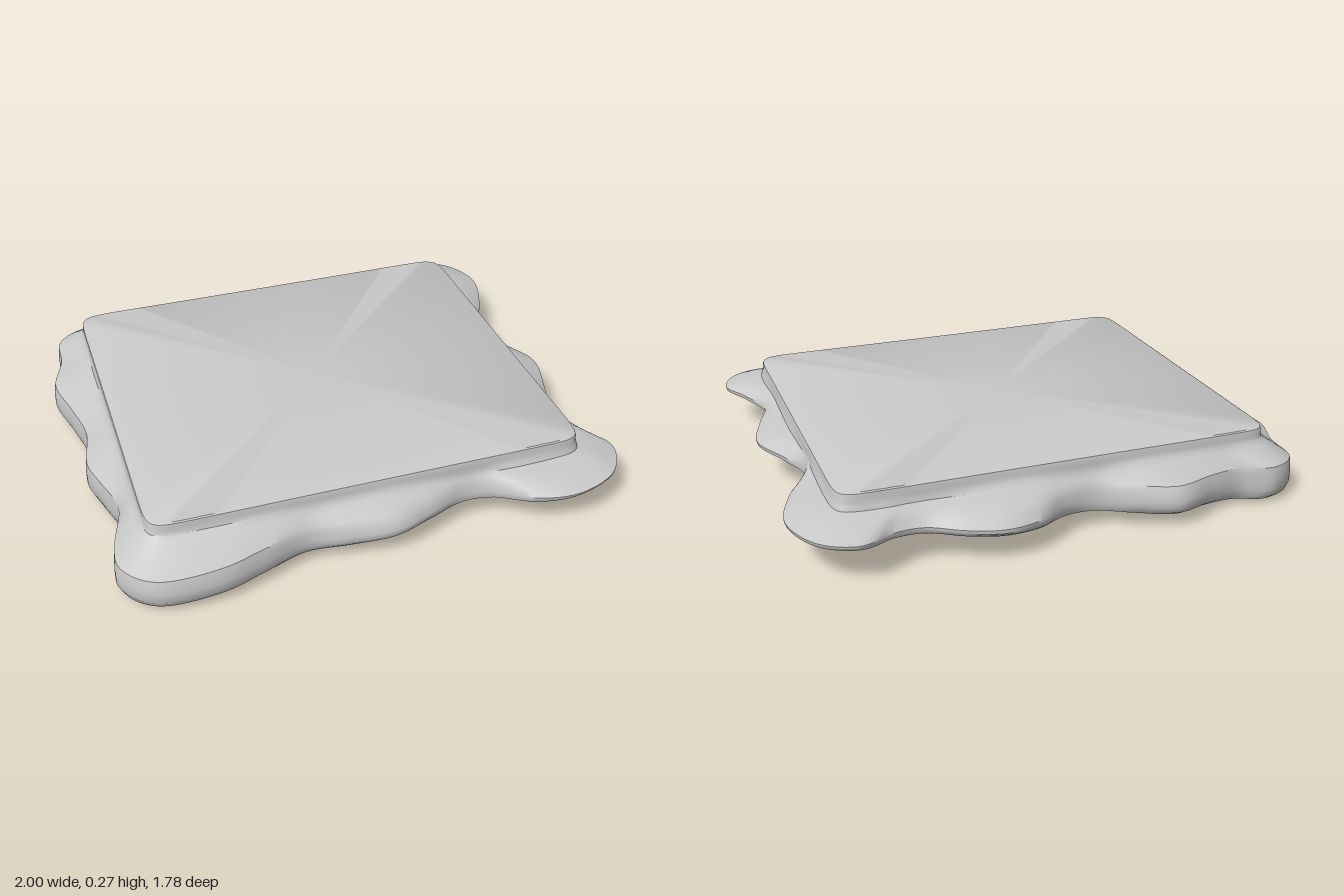
import * as THREE from 'three';
import { toCreasedNormals } from 'three/addons/utils/BufferGeometryUtils.js';

const COUNT = 400;

// Wavy outer rim as x, z pairs, clockwise seen from above
const RIM = [
  -.93, -.74, -.82, -.815, -.68, -.785, -.56, -.81, -.4, -.87, -.25, -.82, -.1, -.76, .02, -.78, .15, -.86,
  .29, -.89, .42, -.86, .55, -.8, .66, -.81, .79, -.87, .92, -.82, .995, -.65, .94, -.44, .845, -.25,
  .89, -.12, .965, .05, .92, .25, .875, .4, .93, .55, .99, .68, .92, .82, .75, .885, .6, .86,
  .45, .765, .34, .745, .2, .79, .05, .835, -.12, .815, -.28, .785, -.45, .835, -.62, .88, -.85, .86,
  -.95, .74, -.94, .62, -.89, .43, -.93, .27, -.96, .15, -.93, -.05, -.96, -.22, -1, -.42, -.95, -.58,
];

function rimPoints() {
  const pts = [];
  for (let i = 0; i < RIM.length; i += 2) pts.push(new THREE.Vector3(RIM[i], 0, RIM[i + 1]));
  return new THREE.CatmullRomCurve3(pts, true, 'centripetal').getSpacedPoints(COUNT).slice(0, COUNT);
}

// Rounded rectangle of the raised plateau, in the direction of a rim point
function plateauPoint(p) {
  const n = 24;
  const r = Math.pow(Math.abs(p.x / 0.832) ** n + Math.abs(p.z / 0.717) ** n, -1 / n);
  return new THREE.Vector3(p.x * r, 0, p.z * r);
}

// Sloping underside and the upper crease of the rim
const underside = (x) => Math.max(0, 0.0775 * (x + 0.98));
const crease = (x) => 0.172 + 0.028 * x;

// One cross-section from bottom to top: [blend from rim to plateau, height]
function section(x) {
  const a = THREE.MathUtils.clamp((1 - x) / 2, 0, 1);
  const low = underside(x), top = crease(x), h = top - low;
  const f = 0.05 + 0.62 * Math.pow(1 - a, 1.5);
  return [
    [0.02 + 0.28 * a, low],
    [0.01 + 0.1 * a, low + h * 0.12],
    [0, low + h * (0.2 + 0.15 * a)],
    [0, low + h * (0.3 + 0.35 * a)],
    [f * 0.5, low + h * (0.68 + 0.2 * a)],
    [f, top],
    [f + (1 - f) * 0.45, top + (0.207 - top) * 0.55],
    [f + (1 - f) * 0.8, 0.207],
    [0.96, 0.222],
    [1, 0.238],
    [1, 0.258],
    [1.02, 0.266],
    [1.07, 0.27],
  ];
}

function slabGeometry() {
  const rim = rimPoints();
  const columns = rim.map((p) => {
    const q = plateauPoint(p);
    const inward = q.clone().normalize().multiplyScalar(-0.15);
    return section(p.x).map(([t, y]) => {
      const v = p.clone().lerp(q, Math.min(t, 1));
      if (t > 1) v.addScaledVector(inward, t - 1);
      return v.setY(y);
    });
  });
  const rows = columns[0].length;
  const pos = [], idx = [];
  for (let i = 0; i < rows; i++) for (const c of columns) pos.push(c[i].x, c[i].y, c[i].z);
  const bottom = rows * COUNT, top = bottom + 1;
  pos.push(0, underside(0), 0, 0, 0.27, 0);
  for (let j = 0; j < COUNT; j++) {
    const k = (j + 1) % COUNT;
    for (let i = 0; i < rows - 1; i++) {
      const a = i * COUNT + j, b = a + COUNT, c = i * COUNT + k, d = c + COUNT;
      idx.push(a, b, c, c, b, d);
    }
    // Flat caps below and above
    idx.push(bottom, j, k);
    idx.push(top, (rows - 1) * COUNT + k, (rows - 1) * COUNT + j);
  }
  const g = new THREE.BufferGeometry();
  g.setAttribute('position', new THREE.Float32BufferAttribute(pos, 3));
  g.setIndex(idx);
  return toCreasedNormals(g, 0.6);
}

export function createModel() {
  const model = new THREE.Group();
  model.name = 'wavySlab';
  const grey = new THREE.MeshStandardMaterial({ color: 0xc8c8c8 });
  grey.name = 'light grey';

  // Slab with wavy rim and raised plateau
  const slab = new THREE.Mesh(slabGeometry(), grey);
  slab.name = 'slab';
  model.add(slab);

  // Thin level rod emerging from the sloping underside
  const rod = new THREE.Mesh(new THREE.CylinderGeometry(0.011, 0.011, 0.86, 16), grey);
  rod.name = 'supportRod';
  rod.rotation.z = Math.PI / 2;
  rod.position.set(0.25, 0.086, 0.35);
  model.add(rod);

  return model;
}
